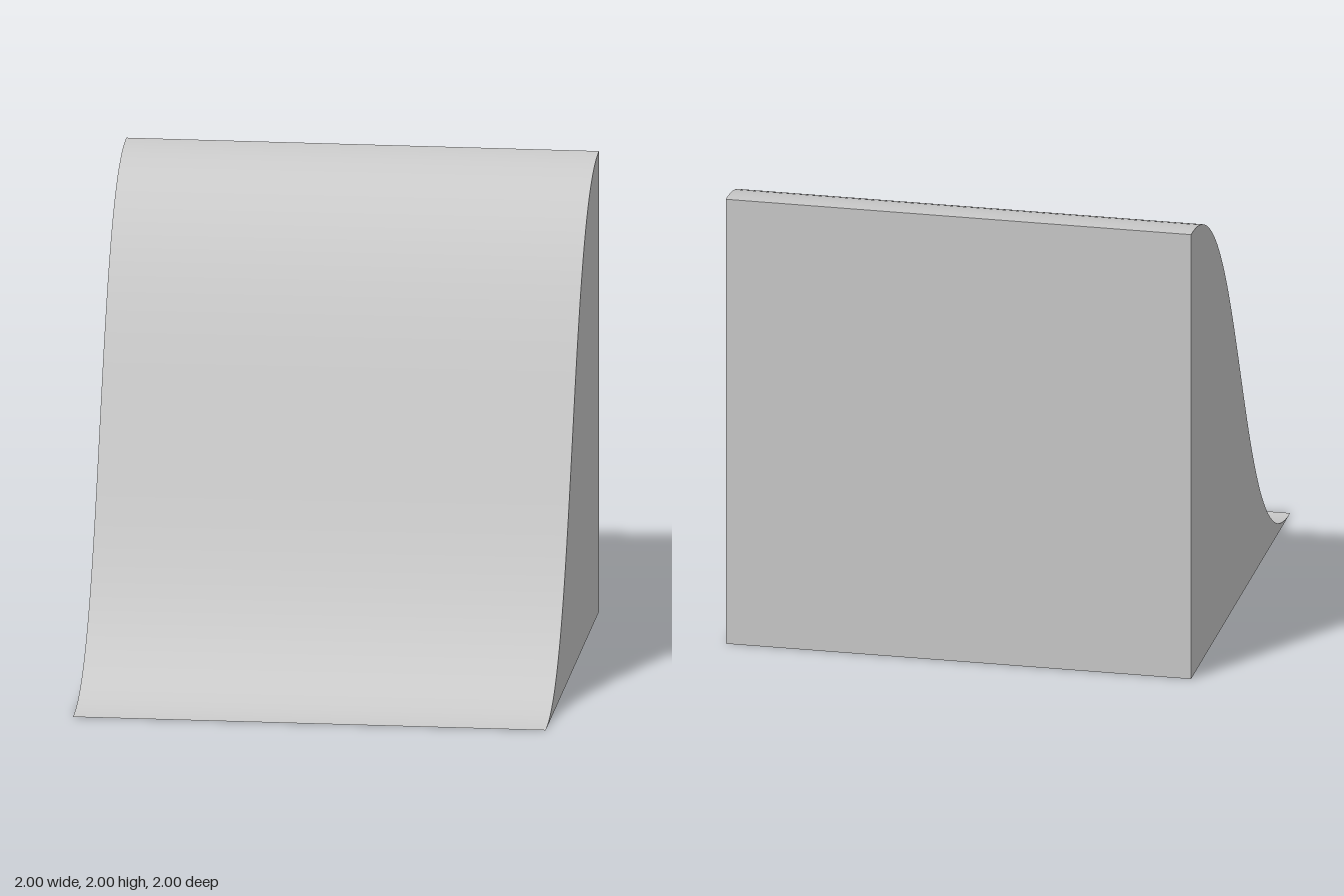
import * as THREE from 'three';
import { toCreasedNormals } from 'three/addons/utils/BufferGeometryUtils.js';

export function createModel() {
  const group = new THREE.Group();
  group.name = 'curvedRamp';

  // Side profile: flat base, upright back, S-curved slope down to the front edge
  const profile = new THREE.Shape();
  profile.moveTo(-1, 0);
  profile.lineTo(1, 0);
  profile.lineTo(1, 2);
  profile.bezierCurveTo(0, 2, 0, 0, -1, 0);

  // Extrude across the width, then turn the profile so its low end faces +z
  const geometry = new THREE.ExtrudeGeometry(profile, { depth: 2, bevelEnabled: false, curveSegments: 64 });
  geometry.translate(0, 0, -1);
  geometry.rotateY(Math.PI / 2);

  const ramp = new THREE.Mesh(
    toCreasedNormals(geometry, 0.5),
    new THREE.MeshStandardMaterial({ color: 0xcccccc })
  );
  ramp.name = 'rampBlock';
  group.add(ramp);
  return group;
}
